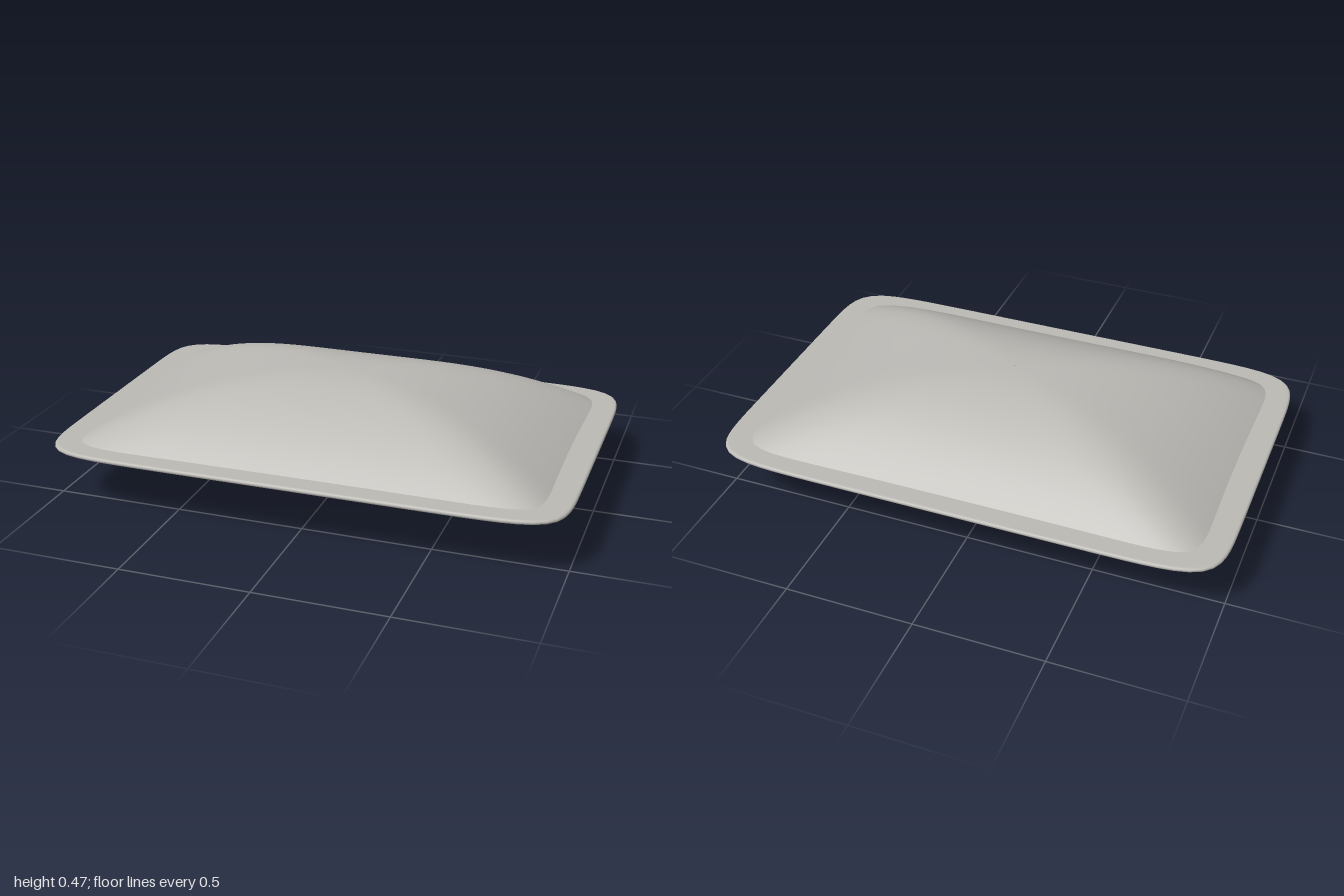
import * as THREE from 'three';

const SEGMENTS = 160;
const MID = 0.235; // height of the seam

// Skins a list of rounded-rectangle rings { a, b, n, y, pinch }, from top centre outwards and under.
function skinRings(rings) {
  const positions = [];
  const index = [];
  for (const { a, b, n, y, pinch = 0 } of rings) {
    for (let j = 0; j < SEGMENTS; j++) {
      const t = (j / SEGMENTS) * Math.PI * 2;
      const c = Math.cos(t), s = Math.sin(t);
      const r = Math.pow(Math.abs(c) ** n + Math.abs(s) ** n, -1 / n);
      const u = r * c, v = r * s;
      // the middle of each side is drawn in slightly
      const pull = 1 - pinch * (1 - Math.min(Math.abs(u), Math.abs(v)) ** 2);
      positions.push(a * u * pull, y, b * v * pull);
    }
  }
  for (let i = 0; i < rings.length - 1; i++) {
    for (let j = 0; j < SEGMENTS; j++) {
      const k = (j + 1) % SEGMENTS;
      const p = i * SEGMENTS + j, q = i * SEGMENTS + k;
      const p2 = p + SEGMENTS, q2 = q + SEGMENTS;
      index.push(p, q, p2, q, q2, p2);
    }
  }
  const geometry = new THREE.BufferGeometry();
  geometry.setAttribute('position', new THREE.Float32BufferAttribute(positions, 3));
  geometry.setIndex(index);
  geometry.computeVertexNormals();
  return geometry;
}

// One stuffed half: soft hips run from the centre to the corners.
function stuffedHalf(side) {
  const rings = [];
  const count = 40;
  for (let i = 0; i <= count; i++) {
    const s = Math.max(i / count, 0.002);
    rings.push({
      a: 0.925 * s,
      b: 0.598 * s,
      n: 4.5 + 8 * s * s,
      y: MID + side * 0.235 * (1 - s ** 2.25),
      pinch: 0.015 * s,
    });
  }
  return skinRings(side > 0 ? rings : rings.reverse());
}

// Flat border with a small rounded outer edge.
function borderGeometry() {
  const half = 0.009, halfX = 1, halfZ = 0.665;
  const ring = (inset, y) => ({ a: halfX - inset, b: halfZ - inset, n: 10, y: MID + y });
  const rings = [ring(0.2, half), ring(0.1, half), ring(0.014, half)];
  for (let i = 0; i <= 8; i++) {
    const t = (i / 8) * Math.PI;
    rings.push(ring(half * (1 - Math.sin(t)), half * Math.cos(t)));
  }
  rings.push(ring(0.014, -half), ring(0.1, -half), ring(0.2, -half));
  return skinRings(rings);
}

export function createModel() {
  const fabric = new THREE.MeshStandardMaterial({ color: 0xbcbab5 });
  fabric.name = 'warm grey fabric';

  const pillow = new THREE.Group();
  pillow.name = 'pillow';
  const add = (name, geometry) => {
    const mesh = new THREE.Mesh(geometry, fabric);
    mesh.name = name;
    pillow.add(mesh);
  };
  add('topCushion', stuffedHalf(1));
  add('bottomCushion', stuffedHalf(-1));
  add('border', borderGeometry());
  return pillow;
}
